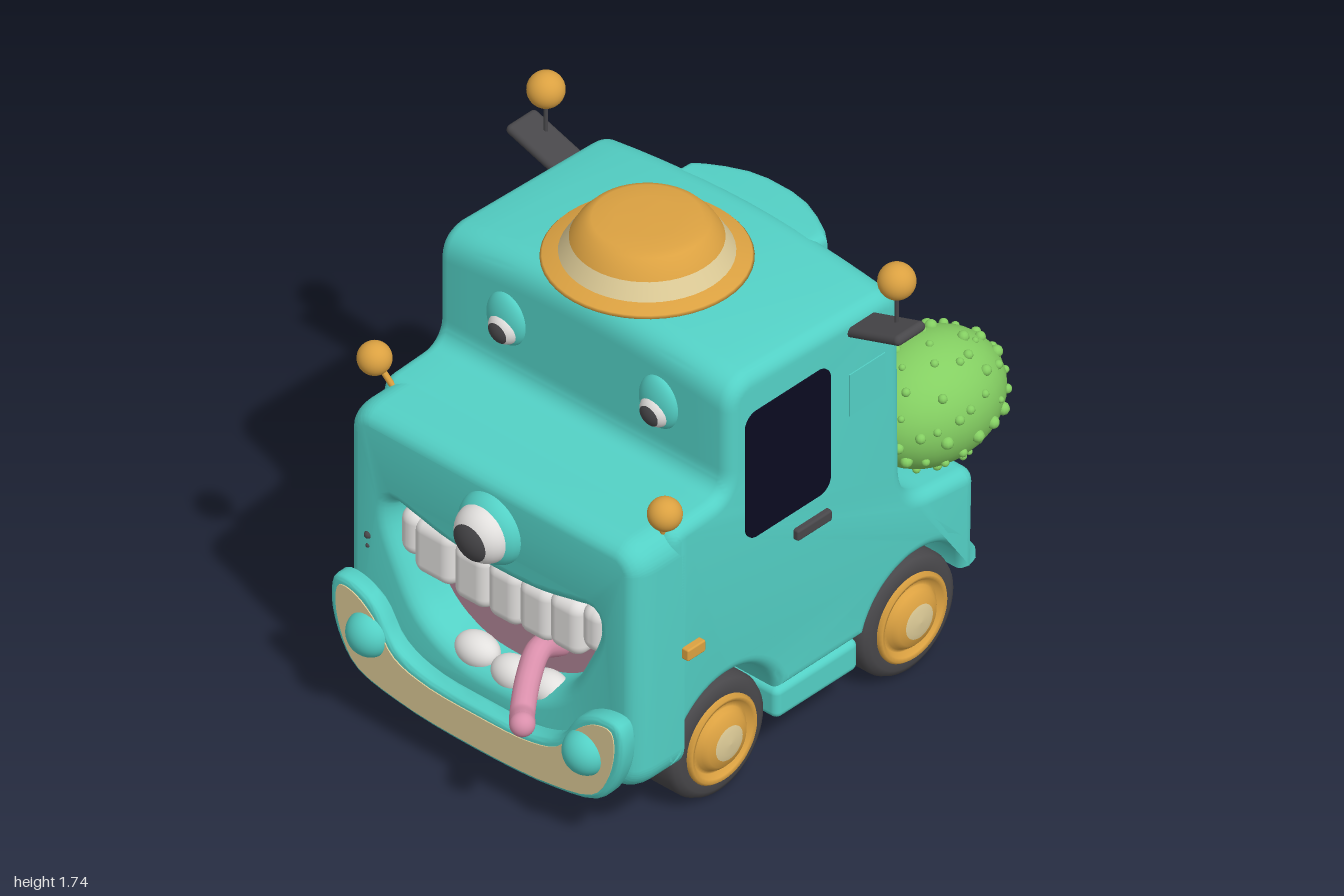
import * as THREE from 'three';
import { mergeGeometries, toCreasedNormals } from 'three/addons/utils/BufferGeometryUtils.js';
import { RoundedBoxGeometry } from 'three/addons/geometries/RoundedBoxGeometry.js';

const mat = (name, color) => {
  const m = new THREE.MeshStandardMaterial({ color });
  m.name = name;
  return m;
};
const M = {
  teal: mat('teal paint', 0x53d0c5), ochre: mat('ochre', 0xdba141), tan: mat('tan', 0xdcca96),
  dark: mat('charcoal', 0x48474a), glass: mat('dark glass', 0x0b0b20), green: mat('green', 0x84cf62),
  pink: mat('tongue pink', 0xd98fab), mouth: mat('mouth mauve', 0xb08596), white: mat('white', 0xe2e0de),
};

export function createModel() {
  const root = new THREE.Group();
  const add = (name, geo, material, pos = [0, 0, 0], parent = root) => {
    const m = new THREE.Mesh(geo, material);
    m.name = name;
    m.position.set(...pos);
    parent.add(m);
    return m;
  };
  const ball = (name, material, pos, rx, ry = rx, rz = rx, parent = root) => {
    const m = add(name, new THREE.SphereGeometry(1, 32, 20), material, pos, parent);
    m.scale.set(rx, ry, rz);
    return m;
  };
  const rod = (name, material, a, b, r) => {
    const path = new THREE.LineCurve3(new THREE.Vector3(...a), new THREE.Vector3(...b));
    add(name, new THREE.TubeGeometry(path, 1, r, 10), material);
  };
  const rounded = (w, h, r, cx = 0, cy = 0) => {
    const s = new THREE.Shape(), x = w / 2, y = h / 2, q = Math.PI / 2;
    [[1, 1], [-1, 1], [-1, -1], [1, -1]].forEach(([i, j], k) =>
      s.absarc(cx + i * (x - r), cy + j * (y - r), r, k * q, (k + 1) * q, false));
    return s;
  };
  // Smooth closed outline from its +x half, listed from centre line to centre line
  const symmetric = (half) => {
    const all = [...half, ...half.slice(1, -1).reverse().map(([x, y]) => [-x, y])];
    const curve = new THREE.CatmullRomCurve3(all.map(([x, y]) => new THREE.Vector3(x, y, 0)), true);
    return curve.getPoints(72).slice(0, -1).map((p) => new THREE.Vector2(p.x, p.y));
  };
  const extrude = (shape, depth, size, thick = size, steps = 1) => new THREE.ExtrudeGeometry(shape, {
    depth, steps, curveSegments: 14, bevelEnabled: size > 0, bevelSize: size, bevelThickness: thick,
    bevelOffset: -size, bevelSegments: 6,
  });
  const warp = (geo, rule) => {
    const p = geo.attributes.position, v = new THREE.Vector3();
    for (let i = 0; i < p.count; i++) {
      rule(v.fromBufferAttribute(p, i));
      p.setXYZ(i, v.x, v.y, v.z);
    }
    return geo;
  };

  // Body: side profile (z, y) with wheel arches, swept across x and crowned at the roof
  const side = new THREE.Shape();
  side.moveTo(0.62, 0.24).lineTo(0.62, 1.06);
  side.quadraticCurveTo(0.62, 1.13, 0.55, 1.13).lineTo(0.43, 1.135);
  side.quadraticCurveTo(0.36, 1.14, 0.36, 1.22).lineTo(0.36, 1.48);
  side.quadraticCurveTo(0.36, 1.58, 0.26, 1.59).lineTo(-0.32, 1.565);
  side.quadraticCurveTo(-0.41, 1.56, -0.415, 1.47).lineTo(-0.42, 0.82);
  side.quadraticCurveTo(-0.43, 0.68, -0.55, 0.67).lineTo(-0.7, 0.655);
  side.quadraticCurveTo(-0.75, 0.65, -0.75, 0.6).lineTo(-0.74, 0.27).lineTo(-0.7, 0.28);
  side.absarc(-0.49, 0.22, 0.24, 2.6, 0.25, true);
  side.absarc(0.36, 0.22, 0.24, Math.PI - 0.25, 0.45, true);
  side.lineTo(0.585, 0.24);
  const B = 0.045;
  const bodyGeo = extrude(side, 1.21 - 2 * B, B, B, 12).translate(0, 0, -0.605 + B).rotateY(-Math.PI / 2);
  warp(bodyGeo, (v) => { v.y -= 0.05 * (v.x / 0.6) ** 2 * THREE.MathUtils.smoothstep(v.y, 1.3, 1.5); });
  add('body', toCreasedNormals(bodyGeo, 0.6), M.teal);

  // Front panel with the mouth opening, its back flattened against the body
  const panel = rounded(1.21, 0.92, 0.1, 0, 0.665);
  panel.holes.push(new THREE.Path(symmetric([[0, 0.76], [0.2, 0.77], [0.34, 0.8], [0.41, 0.81], [0.42, 0.75],
    [0.37, 0.62], [0.28, 0.47], [0.15, 0.395], [0, 0.38]])));
  const panelGeo = warp(extrude(panel, 0.12, 0.055, 0.09), (v) => { v.z = Math.max(v.z, 0); });
  add('frontPanel', toCreasedNormals(panelGeo, 0.6), M.teal, [0, 0, 0.56]);
  add('mouthInside', new THREE.PlaneGeometry(1, 0.56), M.mouth, [0, 0.59, 0.626]);

  // Fluted bulge on the back of the cab
  const flute = [[0.29, 0.34], [0.285, 0.425], [0.25, 0.455], [0.19, 0.49], [0.12, 0.52], [0.05, 0.533]];
  const bulge = new THREE.Shape([...flute, ...flute.slice().reverse().map(([x, y]) => [-x, y])]
    .map(([x, y]) => new THREE.Vector2(x, y)));
  add('cabBulge', toCreasedNormals(extrude(bulge, 0.89, 0.035).rotateX(-Math.PI / 2), 0.6), M.teal, [0, 0.62, 0]);

  // Chassis and side steps
  add('chassis', new RoundedBoxGeometry(0.6, 0.38, 1.12, 4, 0.04), M.ochre, [0, 0.275, 0.01]);
  for (const s of [1, -1]) add('sideStep', new RoundedBoxGeometry(0.3, 0.115, 0.37, 3, 0.025), M.teal, [s * 0.43, 0.205, -0.065]);

  // Teeth and tongue
  [[-0.37, 0.09, 0.63, 0.8], [-0.275, 0.17, 0.585, 0.79], [-0.12, 0.15, 0.57, 0.78], [0.015, 0.14, 0.57, 0.78],
    [0.145, 0.14, 0.575, 0.78], [0.27, 0.14, 0.585, 0.79], [0.385, 0.1, 0.64, 0.81]].forEach(([x, w, y0, y1]) =>
    add('upperTooth', new RoundedBoxGeometry(w, y1 - y0, 0.13, 6, 0.044), M.white, [x, (y0 + y1) / 2, 0.68]));
  [[-0.12, 0.385], [0.03, 0.37], [0.17, 0.385]].forEach(([x, y]) => ball('lowerTooth', M.white, [x, y, 0.7], 0.08, 0.058, 0.06));
  const tongue = new THREE.CatmullRomCurve3([[0.15, 0.5, 0.62], [0.17, 0.55, 0.74], [0.2, 0.5, 0.82], [0.25, 0.44, 0.9],
    [0.305, 0.455, 0.96]].map((p) => new THREE.Vector3(...p)));
  add('tongue', new THREE.TubeGeometry(tongue, 32, 0.04, 16), M.pink);
  ball('tongueTip', M.pink, [0.305, 0.455, 0.96], 0.04);

  // Nose eye and brow eyes: socket, white and pupil cap
  const eye = (name, x, y, z, r, depth, tilt) => {
    const g = new THREE.Group();
    g.name = name;
    g.position.set(x, y, z);
    g.scale.set(r, r, depth);
    root.add(g);
    ball('eyeWhite', M.white, [0, 0, 0], 1, 1, 1, g);
    const cap = new THREE.SphereGeometry(1.025, 28, 8, 0, Math.PI * 2, 0, 0.7).rotateX(Math.PI / 2 + tilt);
    add('pupil', cap, M.dark, [0, 0, 0], g);
  };
  ball('noseSocket', M.teal, [0, 0.94, 0.76], 0.125, 0.125, 0.085);
  eye('noseEye', 0, 0.94, 0.8, 0.1, 0.085, 0.08);
  for (const s of [1, -1]) {
    ball('eyeSocket', M.teal, [s * 0.315, 1.35, 0.355], 0.08, 0.095, 0.04);
    eye('browEye', s * 0.313, 1.325, 0.367, 0.057, 0.048, 0.15);
  }
  ball('freckle', M.dark, [-0.51, 0.66, 0.768], 0.013);
  ball('freckle', M.dark, [-0.51, 0.62, 0.768], 0.008);

  // Bumper with tan inlay and round lamps
  const bumper = new THREE.Shape(symmetric([[0, 0.135], [0.3, 0.15], [0.5, 0.2], [0.575, 0.3], [0.605, 0.43], [0.585, 0.51],
    [0.51, 0.515], [0.42, 0.47], [0.34, 0.36], [0.22, 0.31], [0, 0.3]]));
  add('bumper', toCreasedNormals(extrude(bumper, 0.03, 0.02), 0.7), M.teal, [0, 0, 0.79]);
  const inlay = new THREE.Shape(symmetric([[0, 0.155], [0.3, 0.17], [0.49, 0.22], [0.55, 0.31], [0.575, 0.43], [0.56, 0.488],
    [0.5, 0.485], [0.42, 0.43], [0.34, 0.325], [0.22, 0.285], [0, 0.275]]));
  add('bumperInlay', extrude(inlay, 0.006, 0), M.tan, [0, 0, 0.838]);
  for (const s of [1, -1]) ball('lamp', M.teal, [s * 0.447, 0.355, 0.83], 0.077, 0.077, 0.07);

  // Wheels
  const lathe = (pts) => new THREE.LatheGeometry(pts.map((p) => new THREE.Vector2(...p)), 48);
  const tyre = toCreasedNormals(lathe([[0, -0.085], [0.17, -0.085], [0.195, -0.077], [0.21, -0.055], [0.21, 0.055], [0.2, 0.076],
    [0.18, 0.086], [0.15, 0.086], [0, 0.05]]), 0.7);
  const hub = lathe([[0.148, 0.05], [0.154, 0.092], [0.145, 0.102], [0.132, 0.098], [0.12, 0.08], [0.108, 0.085],
    [0.1, 0.1], [0.085, 0.113], [0.06, 0.121]]);
  const hubCap = lathe([[0.062, 0.12], [0.04, 0.126], [0, 0.129]]);
  for (const s of [1, -1]) for (const z of [0.36, -0.49]) {
    const wheel = new THREE.Group();
    wheel.name = 'wheel';
    wheel.position.set(s * 0.485, 0.21, z);
    wheel.rotation.z = -s * Math.PI / 2;
    root.add(wheel);
    add('tyre', tyre, M.dark, [0, 0, 0], wheel);
    add('hub', hub, M.ochre, [0, 0, 0], wheel);
    add('hubCap', hubCap, M.tan, [0, 0, 0], wheel);
  }

  // Hat
  const hat = [0, 0, 0.072];
  add('hatBrim', lathe([[0, 1.575], [0.31, 1.58], [0.327, 1.588], [0.32, 1.596], [0.27, 1.61]]), M.ochre, hat);
  add('hatBand', lathe([[0.272, 1.608], [0.238, 1.662]]), M.tan, hat);
  add('hatCrown', lathe([[0.238, 1.662], [0.222, 1.69], [0.195, 1.72], [0.17, 1.731], [0.1, 1.735], [0, 1.736]]), M.ochre, hat);

  // Side details: windows, hatches, handles, markers and mirrors
  const pane = extrude(rounded(0.38, 0.47, 0.05), 0.008, 0).rotateY(Math.PI / 2);
  for (const s of [1, -1]) {
    add('window', pane, M.glass, [s > 0 ? 0.602 : -0.61, 1.162, 0.1]);
    add('hatch', new THREE.BoxGeometry(0.008, 0.155, 0.16), M.teal, [s * 0.605, 1.23, -0.255]);
    add('doorHandle', new RoundedBoxGeometry(0.03, 0.04, 0.155, 2, 0.008), M.dark, [s * 0.61, 0.84, -0.005]);
    add('sideMarker', new RoundedBoxGeometry(0.03, 0.042, 0.08, 2, 0.006), M.ochre, [s * 0.615, 0.66, 0.53]);
    const arm = add('mirrorArm', new RoundedBoxGeometry(0.27, 0.035, 0.13, 4, 0.017), M.dark, [s * 0.685, 1.49, -0.235]);
    arm.rotation.z = s * 0.32;
    rod('mirrorStem', M.dark, [s * 0.725, 1.5, -0.26], [s * 0.725, 1.63, -0.26], 0.007);
    ball('mirrorBall', M.ochre, [s * 0.725, 1.675, -0.26], 0.06);
  }
  for (const [x, y] of [[-0.62, 1.19], [0.58, 1.2]]) {
    const foot = Math.sign(x) * 0.55;
    rod('hoodStem', M.ochre, [foot, 1.09, 0.6], [x, y, 0.62], 0.01);
    ball('hoodBall', M.ochre, [x, y, 0.62], 0.055);
  }

  // Knobbly green balls: spiral-scattered bumps on an ellipsoid
  let seed = 7;
  const rand = () => (seed = (seed * 16807) % 2147483647) / 2147483647;
  for (const x of [0.44, -0.505]) {
    const pos = [x, 0.858, -0.71];
    ball('greenBall', M.green, pos, 0.21, 0.21, 0.27);
    const bumps = [];
    for (let i = 0; i < 95; i++) {
      const u = 1 - 2 * (i + 0.5) / 95, a = i * 2.39996 + rand() * 0.5, k = Math.sqrt(1 - u * u);
      const r = 0.011 + rand() * 0.011;
      bumps.push(new THREE.SphereGeometry(r, 10, 7)
        .translate(0.21 * k * Math.cos(a), 0.21 * k * Math.sin(a), 0.27 * u));
    }
    add('greenBallBumps', mergeGeometries(bumps), M.green, pos);
  }
  return root;
}
